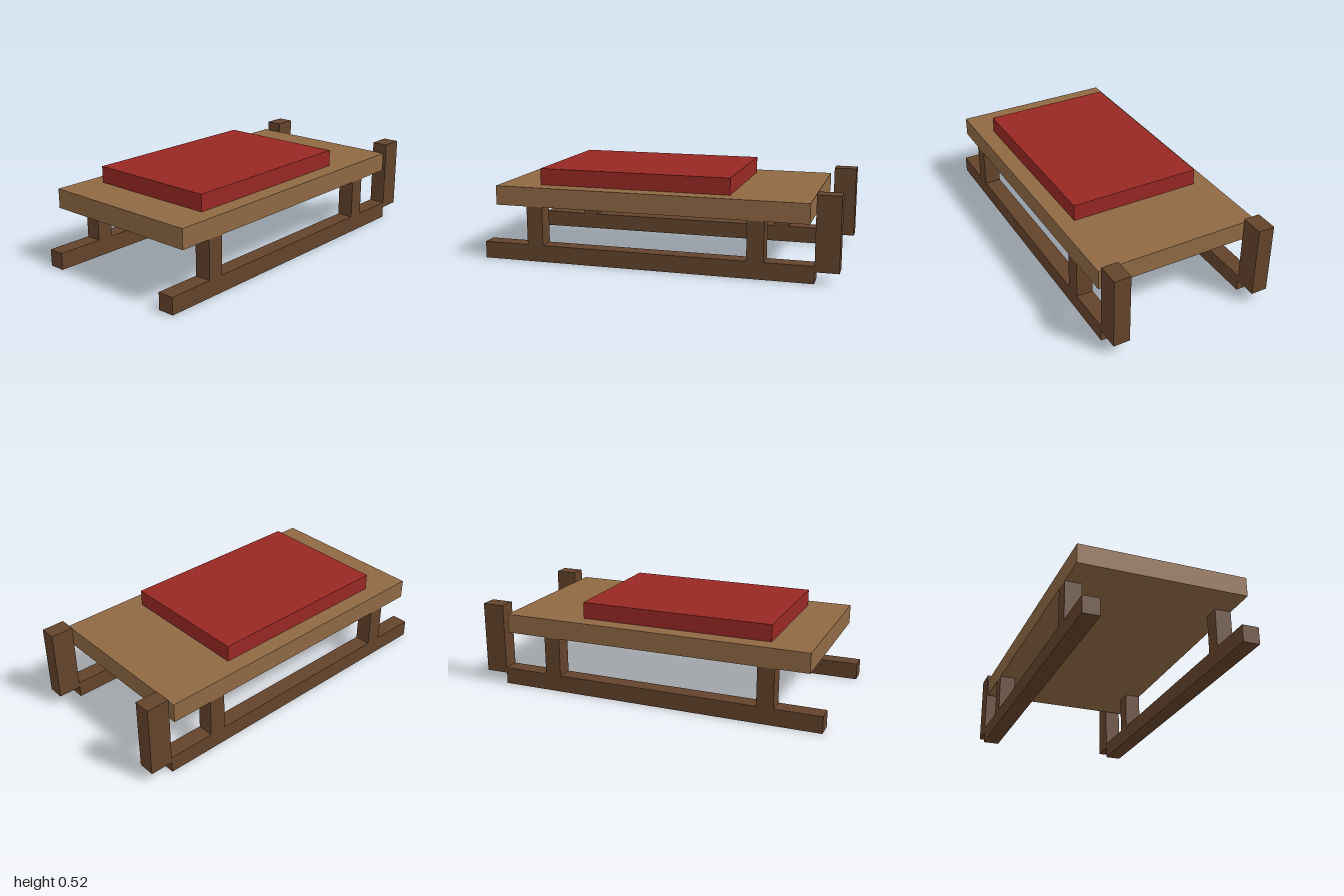
import * as THREE from 'three';

const darkWood = new THREE.MeshStandardMaterial({ color: 0x63432b, flatShading: true });
const lightWood = new THREE.MeshStandardMaterial({ color: 0x8f6944, flatShading: true });
const redCloth = new THREE.MeshStandardMaterial({ color: 0x982824, flatShading: true });

// Box given by its extents along each axis
function block(name, material, [x0, x1], [y0, y1], [z0, z1]) {
  const mesh = new THREE.Mesh(new THREE.BoxGeometry(x1 - x0, y1 - y0, z1 - z0), material);
  mesh.position.set((x0 + x1) / 2, (y0 + y1) / 2, (z0 + z1) / 2);
  mesh.name = name;
  return mesh;
}

export function createModel() {
  const sled = new THREE.Group();
  sled.name = 'sled';

  // Deck and cushion
  sled.add(block('deck', lightWood, [-0.922, 0.842], [0.314, 0.423], [-0.468, 0.468]));
  sled.add(block('cushion', redCloth, [-0.69, 0.403], [0.423, 0.516], [-0.374, 0.374]));

  // Runner, two posts and upright horn on each side
  for (const [side, z] of [['left', [-0.468, -0.375]], ['right', [0.375, 0.468]]]) {
    const frame = new THREE.Group();
    frame.name = side + 'Frame';
    frame.add(block('runner', darkWood, [-1, 0.872], [0, 0.095], z));
    frame.add(block('rearPost', darkWood, [-0.738, -0.645], [0.095, 0.314], z));
    frame.add(block('frontPost', darkWood, [0.514, 0.607], [0.095, 0.314], z));
    frame.add(block('horn', darkWood, [0.872, 1], [0.064, 0.47], z));
    sled.add(frame);
  }

  return sled;
}
